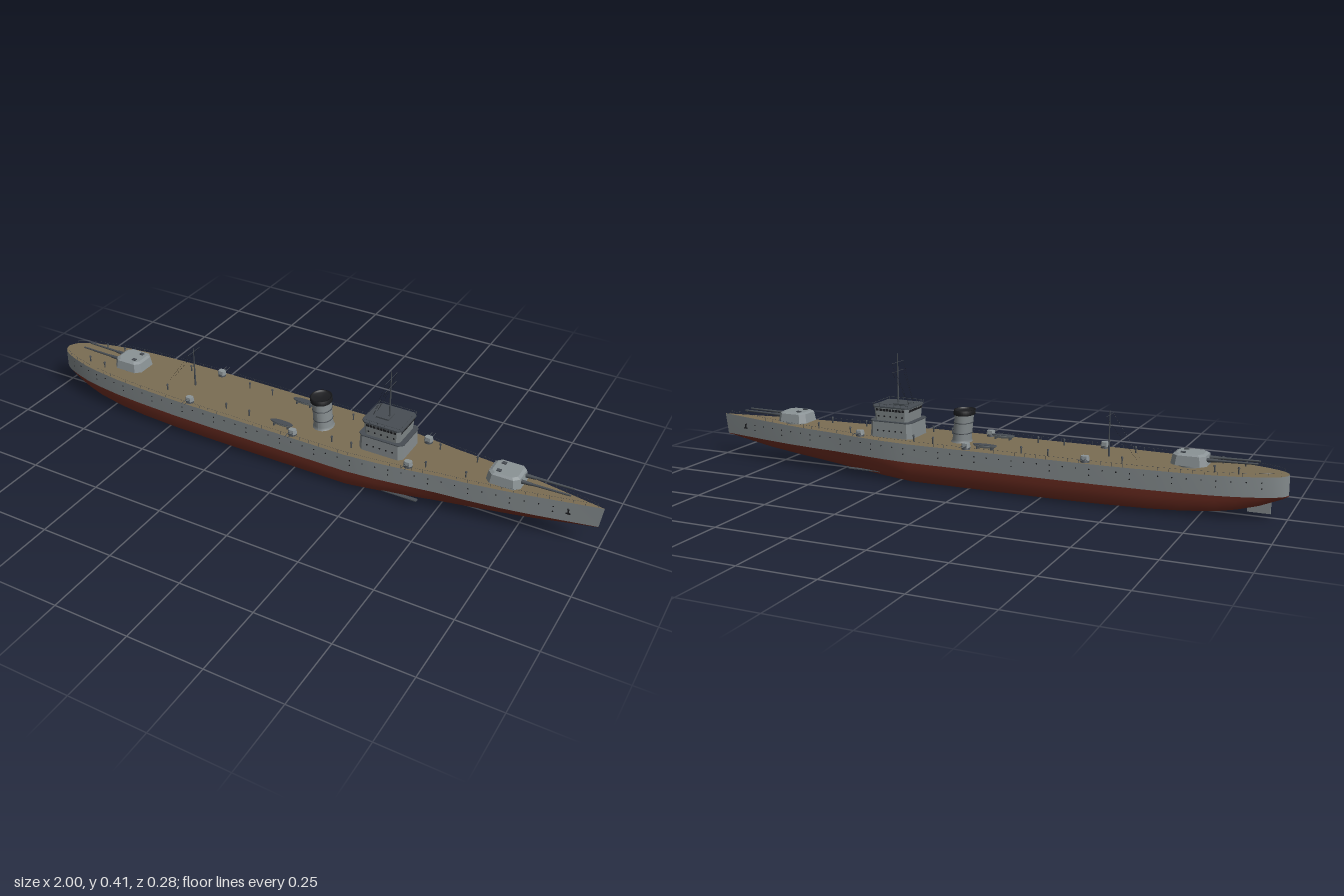
import * as THREE from 'three';
import { mergeGeometries } from 'three/addons/utils/BufferGeometryUtils.js';

const mat = (name, color) => Object.assign(new THREE.MeshStandardMaterial({ color }), { name });
const V = (x, y, z) => new THREE.Vector3(x, y, z);

// Hull stations: x, half beam, keel height, fullness of the section
const stations = [
  [-1, 0, .072, .4], [-.995, .016, .069, .45], [-.985, .03, .064, .5], [-.96, .047, .054, .55],
  [-.92, .063, .038, .65], [-.86, .081, .023, .75], [-.8, .093, .014, .85], [-.7, .106, .008, .95],
  [-.6, .113, .005, 1], [-.45, .119, .002, 1], [-.3, .12, 0, 1], [.2, .12, 0, 1], [.3, .111, .004, .9],
  [.4, .097, .009, .8], [.5, .082, .014, .65], [.6, .072, .021, .5], [.7, .058, .03, .4],
  [.8, .04, .041, .3], [.9, .02, .057, .2], [1, 0, .074, 0],
];
const WATER = .075;
const deckY = x => .1365 + .016 * Math.max(0, x - .4);
function beam(x) {
  const i = Math.max(1, stations.findIndex(s => s[0] >= x));
  const [a, b] = [stations[i - 1], stations[i]];
  return a[1] + (b[1] - a[1]) * (x - a[0]) / (b[0] - a[0]);
}

// Skin a row of sections; the outside faces (x direction) cross (section direction)
function loft(sections) {
  const n = sections[0].length, pos = [], idx = [];
  sections.forEach(s => s.forEach(p => pos.push(...p)));
  for (let i = 0; i < sections.length - 1; i++) for (let j = 0; j < n - 1; j++) {
    const a = i * n + j, b = a + n;
    idx.push(a, b, a + 1, b, b + 1, a + 1);
  }
  const g = new THREE.BufferGeometry();
  g.setAttribute('position', new THREE.Float32BufferAttribute(pos, 3));
  g.setIndex(idx);
  g.computeVertexNormals();
  return g;
}

// Upright prism from a rectangle with cut corners, tapering to the top
function prism(lx, lz, cut, h, taper = 1) {
  const a = lx / 2, b = lz / 2;
  const pts = [[a - cut, -b], [a, cut - b], [a, b - cut], [a - cut, b], [cut - a, b], [-a, b - cut], [-a, cut - b], [cut - a, -b]];
  const g = new THREE.ExtrudeGeometry(new THREE.Shape(pts.map(p => new THREE.Vector2(...p))), { depth: h, bevelEnabled: false });
  g.rotateX(-Math.PI / 2);
  const p = g.attributes.position;
  for (let i = 0; i < p.count; i++) {
    const k = 1 + (taper - 1) * p.getY(i) / h;
    p.setXYZ(i, p.getX(i) * k, p.getY(i), p.getZ(i) * k);
  }
  g.computeVertexNormals();
  return g;
}

// Round bar between two points
function rod(a, b, r0, r1 = r0, sides = 8) {
  const d = b.clone().sub(a);
  const g = new THREE.CylinderGeometry(r1, r0, d.length(), sides);
  g.applyQuaternion(new THREE.Quaternion().setFromUnitVectors(V(0, 1, 0), d.normalize()));
  return g.translate(...a.clone().add(b).multiplyScalar(.5).toArray());
}
const box = (lx, ly, lz, x, y, z) => new THREE.BoxGeometry(lx, ly, lz).translate(x, y, z);

export function createModel() {
  const hullGrey = mat('hull grey', 0x838a8c), red = mat('bottom red', 0x74301f), wood = mat('deck wood', 0x7b6d53);
  const pale = mat('gun house grey', 0x8b9396), steel = mat('dark steel', 0x474d53), black = mat('black', 0x1c1d20);
  red.color.setHex(0x722f23);
  const ship = new THREE.Group();
  ship.name = 'warship';
  const add = (name, geo, material, parent = ship) => {
    const m = new THREE.Mesh(Array.isArray(geo) ? mergeGeometries(geo) : geo, material);
    m.name = name;
    parent.add(m);
    return m;
  };

  // Hull: red bottom, grey sides, wooden deck
  const full = [[0, 0], [.45, .01], [.75, .06], [.87, .2], [.93, .42], [.98, .72], [1, 1]];
  const vee = [[0, 0], [.18, .14], [.38, .32], [.56, .5], [.72, .68], [.87, .84], [1, 1]];
  const stem = x => x - .01 * Math.max(0, x - .8) / .2;
  add('hullBottom', loft(stations.map(([x, b, k, f]) => {
    const half = full.map(([w, h], i) => [stem(x), k + (WATER - k) * (h * f + vee[i][1] * (1 - f)), b * (w * f + vee[i][0] * (1 - f))]);
    return [...half.slice(1).reverse().map(([px, y, z]) => [px, y, -z]), ...half];
  })), red);
  add('hullSideLeft', loft(stations.map(([x, b]) => [[x, deckY(x), -b], [stem(x), WATER, -b]])), hullGrey);
  add('hullSideRight', loft(stations.map(([x, b]) => [[stem(x), WATER, b], [x, deckY(x), b]])), hullGrey);
  add('deck', loft(stations.map(([x, b]) => [[x, deckY(x), b], [x, deckY(x), -b]])), wood);
  add('rudder', box(.07, .05, .007, -.915, .037, 0), hullGrey);

  // Details mirrored on both sides of the hull
  const ports = [], rails = [], fins = [], anchors = [], vents = [];
  for (const s of [-1, 1]) {
    for (let i = 0; i < 44; i++) {
      const x = -.93 + i * .0425;
      for (const y of i % 3 ? [.12] : [.12, .102]) {
        const turn = Math.atan2(beam(x + .01) - beam(x - .01), .02);
        ports.push(new THREE.CylinderGeometry(.0022, .0022, .002, 8).rotateX(Math.PI / 2).rotateY(-s * turn).translate(x, y, s * beam(x)));
      }
    }
    let last;
    for (let i = 0; i <= 56; i++) {
      const x = -.98 + i * .035, z = s * (beam(x) - .002), top = V(x, deckY(x) + .011, z);
      rails.push(rod(V(x, deckY(x), z), top, .0005, .0005, 4));
      if (last) rails.push(rod(last, top, .0003, .0003, 3));
      last = top;
    }
    fins.push(box(.12, .003, .014, .38, .024, s * .085).rotateZ(0));
    anchors.push(box(.004, .014, .004, .9, .112, s * .021), box(.014, .004, .004, .9, .105, s * .021));
    for (const x of [-.86, -.79, -.51, -.27, -.18, .13, .2, .45, .58]) {
      const y = deckY(x), z = s * beam(x) * .62;
      vents.push(rod(V(x, y, z), V(x, y + .02, z), .0022), rod(V(x, y + .017, z), V(x, y + .022, z), .004, .003));
    }
  }
  add('portholes', ports, black);
  add('railings', rails, steel);
  add('bilgeFins', fins, steel);
  add('anchors', anchors, black);
  add('ventilators', vents, steel);

  // Twin gun turrets, the aft one turned round
  for (const [name, x, turn] of [['foreTurret', .695, 0], ['aftTurret', -.705, Math.PI]]) {
    const t = new THREE.Group();
    t.name = name;
    t.position.set(x, deckY(x), 0);
    t.rotation.y = turn;
    ship.add(t);
    add('barbette', new THREE.CylinderGeometry(.042, .042, .008, 24).translate(0, .004, 0), hullGrey, t);
    add('gunHouse', prism(.112, .1, .018, .03, .9).translate(0, .007, 0), pale, t);
    add('gunHouseRoof', prism(.1, .09, .016, .005, .82).translate(0, .037, 0), pale, t);
    add('hatches', [-.022, .022].map(z => box(.014, .004, .012, -.02, .043, z)), steel, t);
    for (const z of [-.018, .018]) {
      add('gunSleeve', rod(V(.04, .024, z), V(.085, .0255, z), .007, .005, 12), steel, t);
      add('gunBarrel', rod(V(.08, .0255, z), V(.205, .028, z), .0042, .003, 10), steel, t);
    }
  }

  // Bridge: two tapered storeys, ledge, roof and windows
  const bx = .295, by = .137;
  add('bridgeLower', prism(.155, .132, .014, .052, .97).translate(bx, by, 0), hullGrey);
  add('bridgeLedge', prism(.156, .134, .014, .003).translate(bx, .189, 0), steel);
  add('bridgeUpper', prism(.122, .112, .01, .044, 1.06).translate(bx, .192, 0), hullGrey);
  add('bridgeRoof', prism(.138, .126, .012, .005).translate(bx, .236, 0), steel);
  add('roofHatch', box(.045, .006, .045, bx - .015, .243, 0), steel);
  const panes = [], spots = [], bars = [];
  for (const s of [-1, 1]) {
    for (let i = -4; i <= 4; i++) {
      panes.push(box(.009, .008, .002, bx + i * .0118, .2285, s * .0588), box(.002, .008, .0085, bx + s * .0642, .2285, i * .0108));
    }
    for (const i of [-2, -1, 0, 1, 2]) for (const y of [.16, .207]) {
      const w = y < .18 ? .0652 : .0575;
      spots.push(rod(V(bx + i * .022, y, s * (w - .003)), V(bx + i * .022, y, s * w + s * .001), .003));
    }
    const c = [V(bx - .065, .249, s * .06), V(bx + .065, .249, s * .06)];
    bars.push(rod(...c, .0007, .0007, 4), rod(V(bx + s * .065, .249, -.06), V(bx + s * .065, .249, .06), .0007, .0007, 4));
    for (let i = 0; i < 6; i++) bars.push(rod(V(bx - .065 + i * .026, .24, s * .06), V(bx - .065 + i * .026, .249, s * .06), .0006, .0006, 4));
  }
  add('bridgeWindows', panes, black);
  add('bridgePortholes', spots, black);
  add('bridgeRailing', bars, steel);

  // Oval funnel raked slightly aft, with a black cap
  const oval = (pts, x, rake) => {
    const g = new THREE.LatheGeometry(pts.map(p => new THREE.Vector2(...p)), 32);
    const p = g.attributes.position;
    for (let i = 0; i < p.count; i++) p.setX(i, p.getX(i) * .85 + x - rake * (p.getY(i) - .137));
    g.computeVertexNormals();
    return g;
  };
  add('funnel', oval([[.041, .136], [.036, .145], [.036, .228]], .06, .1), hullGrey);
  add('funnelCap', oval([[.036, .226], [.041, .228], [.041, .243], [.036, .243], [.035, .236], [0, .236]], .06, .1), black);
  add('funnelBands', [.165, .2].map(y => oval([[.0362, y], [.0375, y], [.0375, y + .003], [.0362, y + .003]], .06, .1)), steel);

  // Masts with yards and rigging
  const mast = (name, x, y0, y1, yards, foot) => {
    const g = new THREE.Group();
    g.name = name;
    ship.add(g);
    add('pole', rod(V(x, y0, 0), V(x, y1, 0), .0035, .0012), steel, g);
    add('yards', yards.map(([y, w]) => rod(V(x, y, -w), V(x, y, w), .0008, .0008, 5)), steel, g);
    const wires = [];
    for (const [y, w] of yards) for (const s of [-1, 1]) {
      wires.push(rod(V(x, y, s * w), V(foot[0], foot[1], s * .015), .0003, .0003, 3));
    }
    add('rigging', wires, black, g);
  };
  mast('foreMast', bx, .24, .41, [[.382, .04], [.352, .039]], [.245, .241]);
  mast('aftMast', -.445, .136, .282, [[.268, .035]], [-.54, .137]);

  // Small twin guns along both edges, and boats beside the funnel
  for (const s of [-1, 1]) {
    for (const x of [-.4, 0, .4]) {
      const g = new THREE.Group(), z = s * (beam(x) - .02);
      g.name = 'sideGun';
      g.position.set(x, deckY(x), z);
      ship.add(g);
      add('mount', new THREE.CylinderGeometry(.012, .014, .008, 16).translate(0, .004, 0), steel, g);
      add('shield', prism(.028, .022, .005, .014, .85).translate(0, .006, 0), pale, g);
      add('barrels', [-.006, .006].map(dx => rod(V(dx, .012, 0), V(dx, .013, s * .04), .0014, .001, 6)), steel, g);
    }
    const boat = add('boat', new THREE.SphereGeometry(1, 20, 8, 0, Math.PI * 2, Math.PI / 2, Math.PI / 2), pale);
    boat.scale.set(.042, .012, .012);
    boat.position.set(-.055, .151, s * .075);
    const cover = add('boatCover', new THREE.CylinderGeometry(1, 1, .12, 20), steel);
    cover.scale.copy(boat.scale);
    cover.position.copy(boat.position);
    add('boatCradles', [-.08, -.03].map(x => box(.004, .01, .02, x, .141, s * .075)), steel);
  }
  return ship;
}
